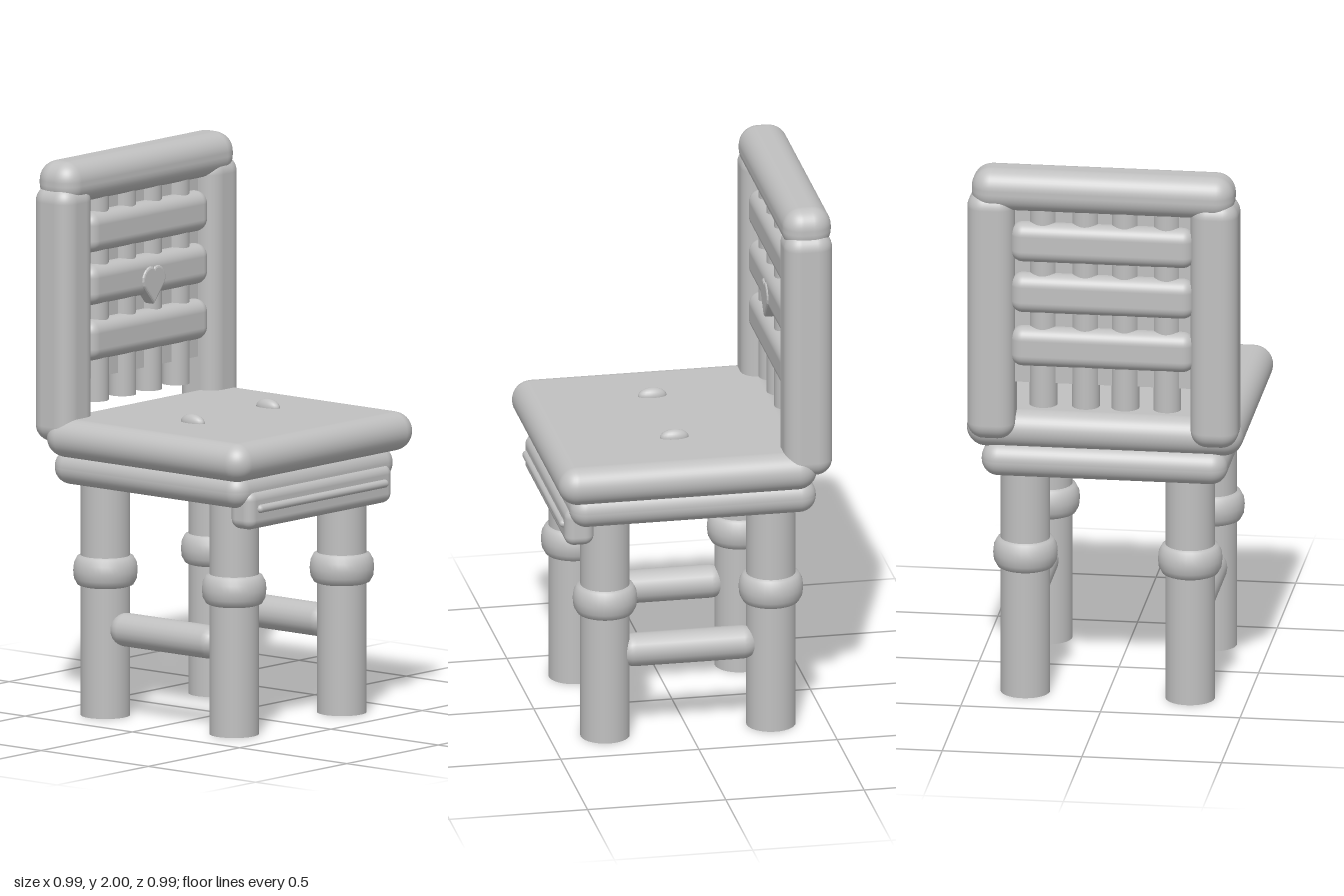
import * as THREE from 'three';
import { RoundedBoxGeometry } from 'three/addons/geometries/RoundedBoxGeometry.js';

export function createModel() {
  const chair = new THREE.Group();
  chair.name = 'chair';
  const grey = new THREE.MeshStandardMaterial({ color: 0xc0c0c0 });
  grey.name = 'plain grey';

  function add(name, geometry, x, y, z, parent = chair) {
    const mesh = new THREE.Mesh(geometry, grey);
    mesh.name = name;
    mesh.position.set(x, y, z);
    parent.add(mesh);
    return mesh;
  }
  // Rounded block given by its min/max extents
  function block(name, [x0, x1], [y0, y1], [z0, z1], radius, parent) {
    const g = new RoundedBoxGeometry(x1 - x0, y1 - y0, z1 - z0, 5, radius);
    return add(name, g, (x0 + x1) / 2, (y0 + y1) / 2, (z0 + z1) / 2, parent);
  }

  // Seat and the frame below it
  block('seat', [-0.495, 0.495], [0.94, 1.08], [-0.44, 0.495], 0.07);
  block('seatFrame', [-0.44, 0.44], [0.835, 0.96], [-0.445, 0.445], 0.06);

  // Front panel with a raised strip
  block('frontPanel', [-0.395, 0.395], [0.76, 0.9], [0.355, 0.46], 0.035);
  const strip = add('panelStrip', new THREE.CapsuleGeometry(0.015, 0.68, 6, 12), 0, 0.835, 0.46);
  strip.rotation.z = Math.PI / 2;

  // Legs with a rounded collar, joined front to back by stretchers
  const collarProfile = [[0.08, 0.465], [0.1, 0.473], [0.112, 0.495], [0.115, 0.523],
    [0.112, 0.55], [0.1, 0.573], [0.08, 0.581]].map(p => new THREE.Vector2(...p));
  for (const side of [-1, 1]) {
    for (const end of [-1, 1]) {
      const leg = new THREE.Group();
      leg.name = (end > 0 ? 'front' : 'back') + (side > 0 ? 'LeftLeg' : 'RightLeg');
      leg.position.set(side * 0.295, 0, end * 0.3);
      chair.add(leg);
      add('legShaft', new THREE.CylinderGeometry(0.088, 0.088, 0.87, 32), 0, 0.435, 0, leg);
      add('legCollar', new THREE.LatheGeometry(collarProfile, 32), 0, 0, 0, leg);
    }
    const stretcher = add('stretcher', new THREE.CapsuleGeometry(0.06, 0.39, 6, 20), side * 0.302, 0.32, 0);
    stretcher.rotation.x = Math.PI / 2;

    // Small oval stud on the seat
    const stud = add('seatStud', new THREE.SphereGeometry(1, 20, 14), side * 0.206, 1.08, 0.032);
    stud.scale.set(0.025, 0.03, 0.052);

    // Back post
    const inner = side * 0.315, outer = side * 0.485;
    block('backPost', [Math.min(inner, outer), Math.max(inner, outer)], [0.99, 1.915], [-0.495, -0.32], 0.06);
  }

  // Backrest: top rail, thin panel, slats and spindles
  const backZ = -0.4075;
  block('topRail', [-0.47, 0.47], [1.845, 2], [-0.495, -0.32], 0.07);
  add('backPanel', new THREE.BoxGeometry(0.65, 0.68, 0.04), 0, 1.54, backZ);
  for (const y of [1.73, 1.54, 1.34])
    block('slat', [-0.33, 0.33], [y - 0.073, y + 0.073], [backZ - 0.073, backZ + 0.073], 0.045);
  for (const x of [-0.227, -0.077, 0.064, 0.216])
    add('spindle', new THREE.CylinderGeometry(0.05, 0.05, 0.77, 24), x, 1.5, backZ);

  // Small heart ornament on the middle slat
  const heart = new THREE.Shape();
  heart.moveTo(0, -0.085);
  heart.lineTo(0.05, -0.025);
  heart.bezierCurveTo(0.07, 0.01, 0.02, 0.05, 0, 0.02);
  heart.bezierCurveTo(-0.02, 0.05, -0.07, 0.01, -0.05, -0.025);
  heart.lineTo(0, -0.085);
  const heartGeometry = new THREE.ExtrudeGeometry(heart, {
    depth: 0.03, bevelThickness: 0.012, bevelSize: 0.01, bevelSegments: 3, curveSegments: 8,
  });
  add('heartOrnament', heartGeometry, 0.01, 1.535, backZ + 0.037);

  return chair;
}
